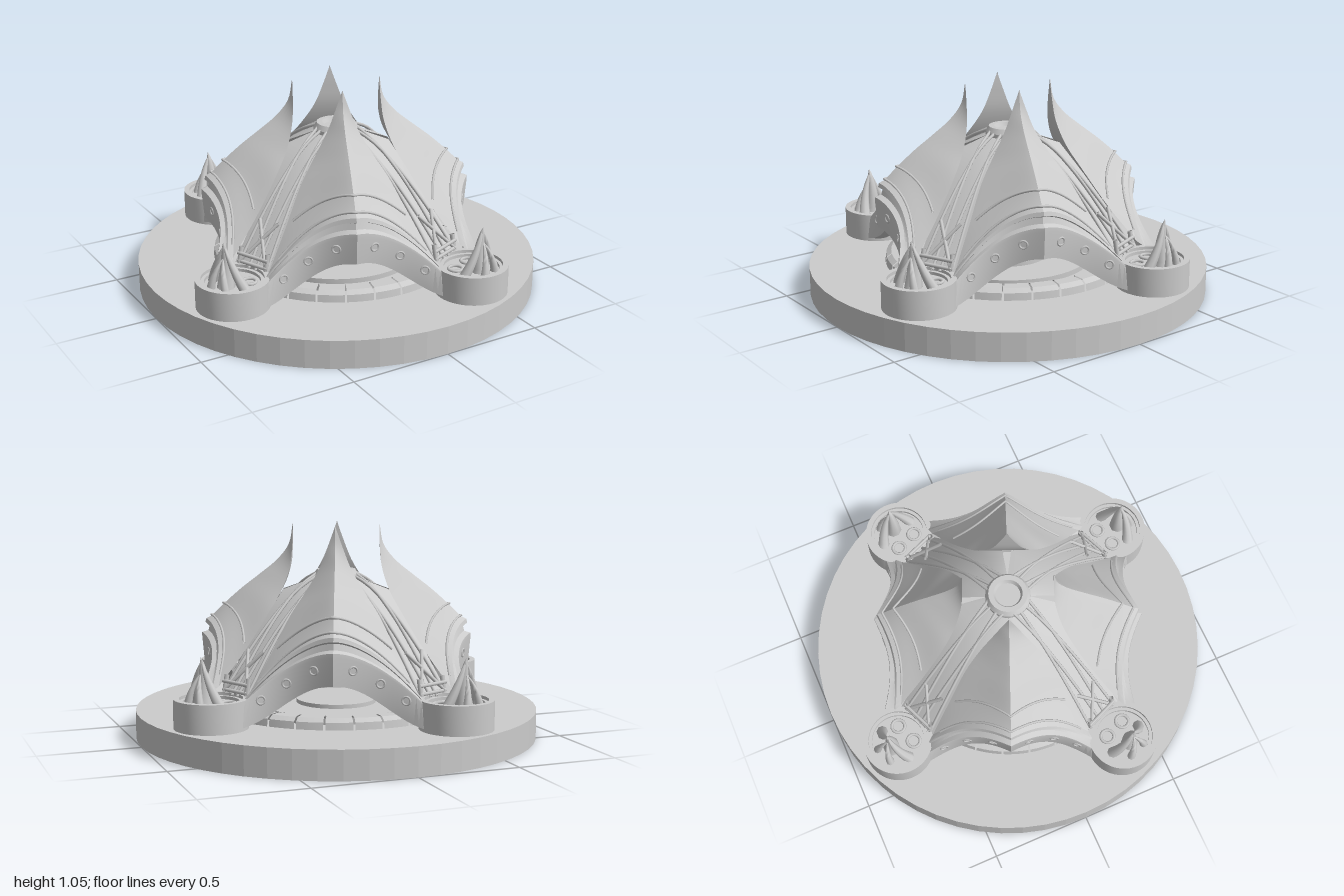
import * as THREE from 'three';
import { toCreasedNormals } from 'three/addons/utils/BufferGeometryUtils.js';

const V = (x, y, z) => new THREE.Vector3(x, y, z);
const grey = new THREE.MeshStandardMaterial({ color: 0xcccccc, side: THREE.DoubleSide });
const flat = new THREE.MeshStandardMaterial({ color: 0xcccccc, flatShading: true });
const LEG_ANGLE = 0.397;

function add(parent, name, geometry, material = grey) {
  const mesh = new THREE.Mesh(geometry, material);
  mesh.name = name;
  parent.add(mesh);
  return mesh;
}

// Skin over equally long rows of points
function loft(rows, crease = 0.5) {
  const n = rows[0].length, index = [];
  for (let i = 0; i < rows.length - 1; i++)
    for (let j = 0; j < n - 1; j++) {
      const a = i * n + j, b = a + n;
      index.push(a, b, a + 1, b, b + 1, a + 1);
    }
  const g = new THREE.BufferGeometry().setFromPoints(rows.flat());
  g.setIndex(index);
  return toCreasedNormals(g, crease);
}

const tube = (points, r, segments = 16) =>
  new THREE.TubeGeometry(new THREE.CatmullRomCurve3(points), segments, r, 6);

const lathe = (profile, segments = 48, start = 0, length = Math.PI * 2) =>
  toCreasedNormals(new THREE.LatheGeometry(
    profile.map(p => new THREE.Vector2(...p)), segments, start, length), 0.5);

// Canopy cross-sections: ridge z, y; side edge x, z, y; inward sag; fall exponent (0 = bell)
const CANOPY = [
  [0.215, 1.05, 0.003, 0.214, 1.04, 0, 1],
  [0.235, 0.95, 0.035, 0.216, 0.95, 0, 1],
  [0.29, 0.875, 0.075, 0.225, 0.85, 0, 1.1],
  [0.38, 0.80, 0.14, 0.26, 0.74, 0, 1.2],
  [0.47, 0.73, 0.21, 0.32, 0.635, 0.01, 1.35],
  [0.56, 0.65, 0.30, 0.43, 0.46, 0.03, 1.5],
  [0.62, 0.59, 0.39, 0.55, 0.30, 0.045, 1.6],
];
const BAND = [
  [0.62, 0.59, 0.39, 0.55, 0.30, 0.045, 1.6],
  [0.65, 0.575, 0.41, 0.58, 0.28, 0.045, 1.6],
  [0.655, 0.555, 0.415, 0.59, 0.27, 0.045, 1.6],
  [0.632, 0.545, 0.415, 0.59, 0.265, 0.05, 1.6],
  [0.64, 0.515, 0.43, 0.62, 0.25, 0.055, 1.6],
  [0.672, 0.505, 0.44, 0.645, 0.245, 0.06, 1.6],
  [0.672, 0.485, 0.445, 0.65, 0.235, 0.06, 1.6],
  [0.66, 0.35, 0.46, 0.675, 0.15, 0.075, 0],
  [0.60, 0.34, 0.46, 0.63, 0.145, 0.075, 0],
];

function sectionPoint([rz, ry, ex, ez, ey, sag, power], u) {
  const a = Math.abs(u);
  const fall = power ? a ** power : 0.5 - 0.5 * Math.cos(Math.PI * a);
  return V(ex * u, ry + (ey - ry) * fall, rz + (ez - rz) * a - sag * Math.sin(Math.PI * a));
}
const STEPS = Array.from({ length: 41 }, (_, i) => i / 20 - 1);
const section = row => STEPS.map(u => sectionPoint(row, u));

// Vaulted canopy rising to a pointed fin, with a stepped arch band
function makeArch() {
  const g = new THREE.Group();
  g.name = 'archCanopy';
  const columns = STEPS.map(u =>
    new THREE.CatmullRomCurve3(CANOPY.map(r => sectionPoint(r, u))).getPoints(30));
  add(g, 'canopyShell', loft(columns, 0.6));
  add(g, 'archBand', loft(BAND.map(section), 0.45));
  // Closed inner face of the fin
  const edges = [columns[0], columns[columns.length - 1]];
  add(g, 'finBack', loft(edges.map(c => c.slice(0, 22))));
  // Raised seams following the arch
  for (const [i, lift] of [[5, 0.004], [6, 0.004]]) {
    const pts = section(CANOPY[i]).slice(2, -2).map(p => p.add(V(0, lift, lift)));
    add(g, 'canopySeam', tube(pts, 0.006, 48));
  }
  // Round eyelets along the band
  const at = (u, k) => sectionPoint(BAND[6], u).lerp(sectionPoint(BAND[7], u), k);
  for (const u of [-0.74, -0.48, -0.2, 0.2, 0.48, 0.74]) {
    const p = at(u, 0.35);
    const du = at(u + 0.03, 0.35).sub(at(u - 0.03, 0.35));
    const normal = at(u, 0.6).sub(at(u, 0.1)).cross(du).normalize();
    if (normal.z < 0) normal.negate();
    const eyelet = add(g, 'eyelet', new THREE.TorusGeometry(0.019, 0.005, 6, 16));
    eyelet.position.copy(p);
    eyelet.quaternion.setFromUnitVectors(V(0, 0, 1), normal);
  }
  return g;
}

// Tapered curved prong
function prong(a, b, c, radius) {
  const curve = new THREE.QuadraticBezierCurve3(a, b, c), rows = [];
  for (let i = 0; i <= 10; i++) {
    const p = curve.getPoint(i / 10), r = radius * (1 - i / 10) ** 0.7 + 0.001;
    rows.push(Array.from({ length: 9 }, (_, j) => {
      const t = j / 8 * Math.PI * 2;
      return V(p.x + r * Math.cos(t), p.y, p.z + r * Math.sin(t));
    }));
  }
  return loft(rows, 1);
}

const SLOPE = [[0.07, 0.80], [0.2, 0.74], [0.35, 0.62], [0.5, 0.46], [0.66, 0.26]];

// Valley roof, struts and the drum-shaped foot
function makeLeg() {
  const g = new THREE.Group();
  g.name = 'leg';
  const widths = [0.07, 0.17, 0.13, 0.12, 0.12];
  add(g, 'valleyPanel', loft(SLOPE.map(([z, y], i) =>
    [-1, -0.5, 0, 0.5, 1].map(s => V(s * widths[i], y - 0.015 * s * s, z))), 1));
  for (const s of [-1, 1]) {
    for (const [x0, x1] of [[0.015, 0.085], [0.05, 0.02]])
      add(g, 'roofStrut', tube(SLOPE.map(([z, y], i) =>
        V(s * (x0 + (x1 - x0) * i / 4), y + 0.012, z)), 0.008));
    add(g, 'crossBrace', tube([V(-s * 0.08, 0.29, 0.66), V(s * 0.055, 0.47, 0.53)], 0.009, 1));
    add(g, 'bracePost', tube([V(s * 0.08, 0.25, 0.66), V(s * 0.08, 0.36, 0.64)], 0.012, 1));
  }
  for (const y of [0.29, 0.33])
    add(g, 'braceBar', tube([V(-0.09, y, 0.655), V(0.09, y, 0.655)], 0.009, 1));

  const foot = new THREE.Group();
  foot.name = 'foot';
  foot.position.z = 0.802;
  g.add(foot);
  add(foot, 'drum', lathe([[0.175, 0.14], [0.175, 0.28], [0.148, 0.28], [0.148, 0.265],
    [0.132, 0.265], [0.132, 0.25], [0, 0.25]]));
  for (const s of [-1, 1]) {
    const ring = add(foot, 'drumRing', new THREE.TorusGeometry(0.033, 0.008, 6, 20));
    ring.rotation.x = Math.PI / 2;
    ring.position.set(s * 0.055, 0.255, -0.055);
    add(foot, 'sideProng', prong(V(s * 0.095, 0.25, 0.02), V(s * 0.05, 0.36, 0.06), V(0, 0.46, 0.05), 0.028));
    add(foot, 'outerProng', prong(V(s * 0.045, 0.25, 0.1), V(s * 0.03, 0.33, 0.1), V(0, 0.4, 0.06), 0.02));
  }
  add(foot, 'horn', prong(V(0, 0.25, 0.045), V(0, 0.36, 0.03), V(0, 0.475, 0.055), 0.042));
  return g;
}

export function createModel() {
  const model = new THREE.Group();
  model.name = 'pavilion';

  // Round base with a shallow recess underneath
  add(model, 'base', new THREE.LatheGeometry([[0, 0.03], [0.88, 0.03], [0.88, 0], [1, 0], [1, 0.14], [0, 0.14]]
    .map(p => new THREE.Vector2(...p)), 56), flat);

  // Floor: ring of rounded tiles and concentric steps
  const floor = new THREE.Group();
  floor.name = 'floor';
  model.add(floor);
  const count = 28, step = Math.PI * 2 / count;
  for (let i = 0; i < count; i++)
    add(floor, 'floorTile', lathe([[0.62, 0.14], [0.615, 0.175], [0.59, 0.192], [0.53, 0.192],
      [0.505, 0.175], [0.5, 0.14]], 4, i * step, step * 0.93));
  add(floor, 'floorDais', lathe([[0.42, 0.14], [0.42, 0.165], [0.36, 0.165], [0.36, 0.155],
    [0.2, 0.155], [0.2, 0.175], [0, 0.175]]));

  // Ring crowning the roof
  add(model, 'crownRing', lathe([[0.11, 0.775], [0.11, 0.8], [0.095, 0.825], [0.07, 0.825],
    [0.06, 0.805], [0, 0.805]], 32));

  for (let i = 0; i < 4; i++) {
    const turn = LEG_ANGLE + i * Math.PI / 2;
    const leg = makeLeg(), arch = makeArch();
    leg.rotation.y = turn;
    arch.rotation.y = turn - Math.PI / 4;
    model.add(leg, arch);
  }
  return model;
}
